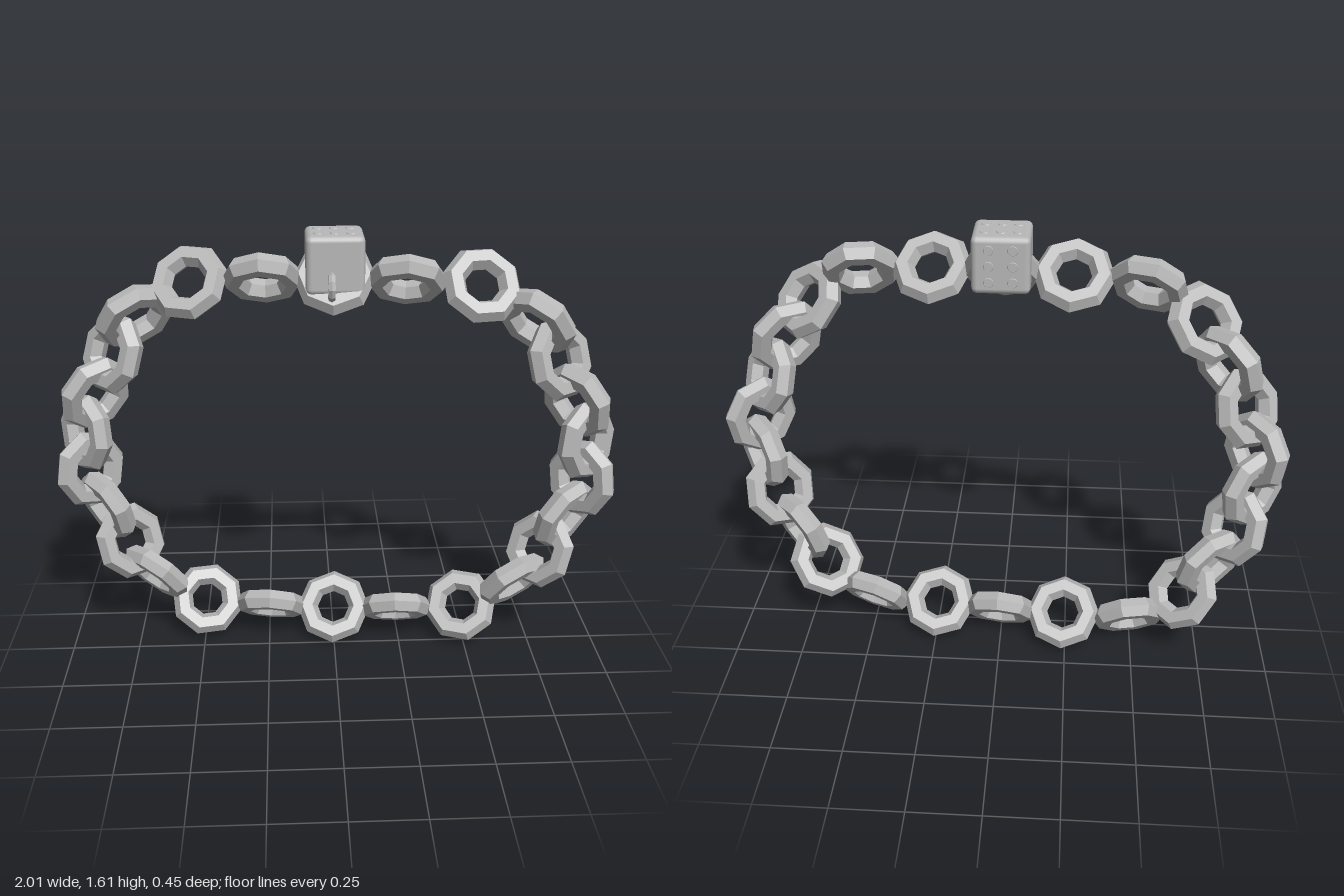
import * as THREE from 'three';
import { RoundedBoxGeometry } from 'three/addons/geometries/RoundedBoxGeometry.js';

const steel = new THREE.MeshStandardMaterial({ color: 0xb8b8b8 });
steel.name = 'steel grey';

// Give every facet its own flat normal
function faceted(geometry) {
  const flat = geometry.toNonIndexed();
  flat.computeVertexNormals();
  return flat;
}

function addPart(parent, name, geometry, x = 0, y = 0, z = 0) {
  const mesh = new THREE.Mesh(geometry, steel);
  mesh.name = name;
  mesh.position.set(x, y, z);
  parent.add(mesh);
  return mesh;
}

// The bracelet lies in a slightly leaning plane
const MID_Y = 0.785;
const planeZ = (x, y) => -0.018 + 0.087 * x + 0.085 * (y - MID_Y);
const planeNormal = new THREE.Vector3(-0.087, -0.085, 1).normalize();

// Link centres for one quarter of the loop, as x and height from the middle
const quarter = [
  [0, 0.67], [0.24, 0.664], [0.49, 0.647],
  [0.68, 0.525], [0.77, 0.385], [0.845, 0.23], [0.893, 0.075],
];

function loopCentres() {
  const right = [...quarter, ...quarter.slice().reverse().map(([x, h]) => [x, -h])];
  const left = right.slice(1, -1).reverse().map(([x, h]) => [-x, h]);
  return [...right, ...left].map(([x, h]) => new THREE.Vector3(x, MID_Y + h, planeZ(x, MID_Y + h)));
}

function createChain() {
  const chain = new THREE.Group();
  chain.name = 'chain';
  const geometry = faceted(new THREE.TorusGeometry(0.1, 0.04, 6, 8));
  const centres = loopCentres();
  const count = centres.length;
  centres.forEach((centre, i) => {
    const along = centres[(i + 1) % count].clone().sub(centres[(i + count - 1) % count]).normalize();
    const outward = new THREE.Vector3().crossVectors(planeNormal, along).normalize();
    // Neighbouring links lean opposite ways, a quarter turn apart
    const axis = planeNormal.clone().addScaledVector(outward, i % 2 ? -1 : 1).normalize();
    const across = new THREE.Vector3().crossVectors(axis, along).normalize();
    const link = addPart(chain, 'link' + (i + 1), geometry, centre.x, centre.y, centre.z);
    link.quaternion.setFromRotationMatrix(new THREE.Matrix4().makeBasis(along, across, axis));
    // The interlocked side links are a little longer
    if (Math.abs(centre.x) > 0.6) link.scale.x = 1.07;
  });
  return chain;
}

function createDie() {
  const die = new THREE.Group();
  die.name = 'die';
  die.position.set(0, 1.508, 0.018);
  const size = 0.196;
  addPart(die, 'dieBody', new RoundedBoxGeometry(size, size, size, 2, 0.02));

  // Six pips on the top and six on the back
  const pip = faceted(new THREE.CylinderGeometry(0.016, 0.018, 0.004, 10));
  for (const u of [-0.055, 0, 0.055]) {
    for (const v of [-0.04, 0.04]) {
      addPart(die, 'topPip', pip, u, size / 2 + 0.001, v);
      addPart(die, 'backPip', pip, v, u, -size / 2 - 0.001).rotation.x = -Math.PI / 2;
    }
  }

  // Small hanging ring on the front
  const ring = addPart(die, 'frontRing', faceted(new THREE.TorusGeometry(0.036, 0.013, 6, 10)), -0.015, -0.054, 0.146);
  ring.rotation.y = Math.PI / 2;
  return die;
}

export function createModel() {
  const model = new THREE.Group();
  model.name = 'chainBracelet';
  model.add(createChain(), createDie());
  return model;
}
